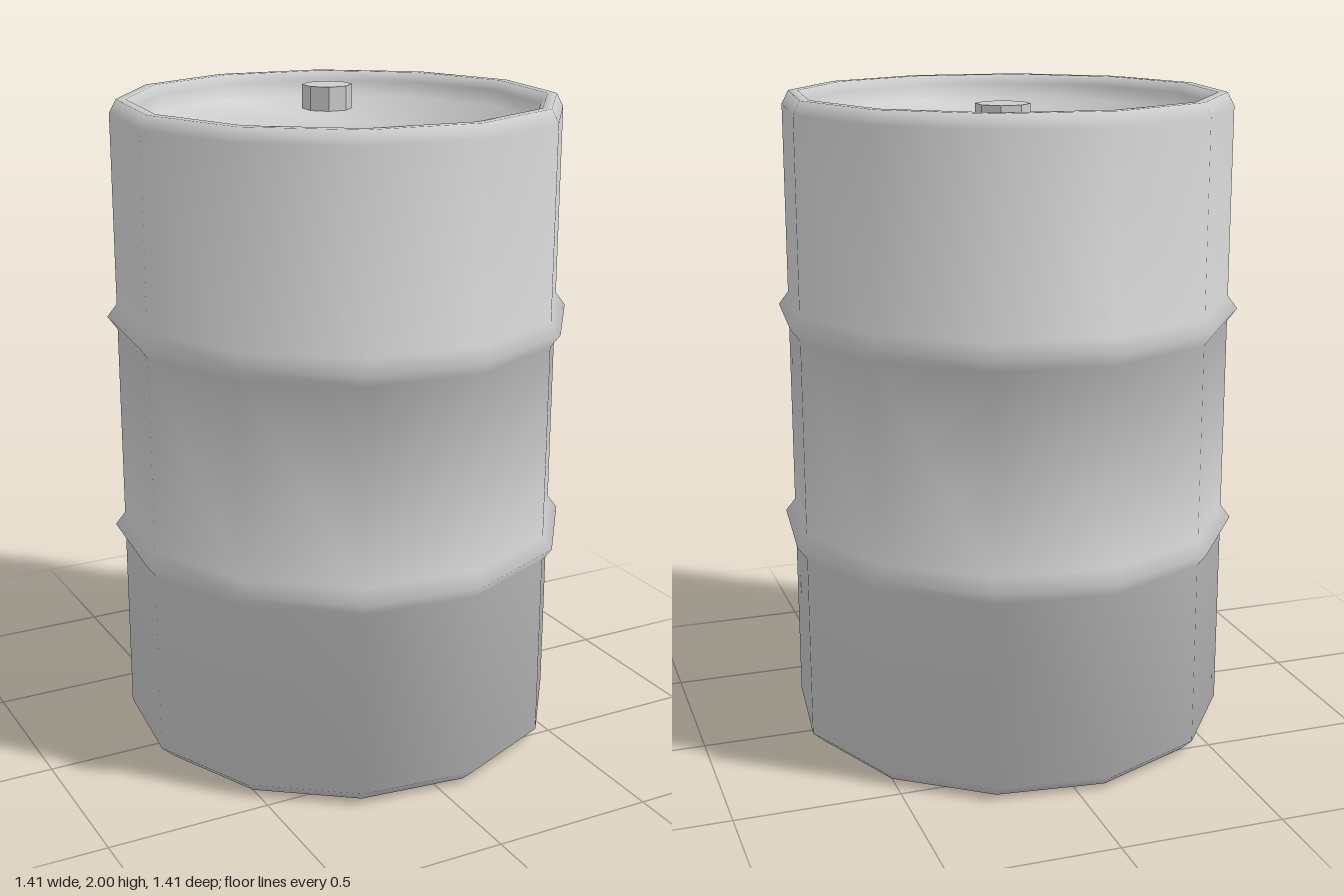
import * as THREE from 'three';

const SIDES = 12;
const TURN = THREE.MathUtils.degToRad(8.6);

// Lathe whose normals blend evenly across neighbouring profile segments
function smoothLathe(profile) {
  const points = profile.map(([r, y]) => new THREE.Vector2(r, y));
  const geometry = new THREE.LatheGeometry(points, SIDES, TURN);
  const segments = points.slice(1).map((p, i) =>
    new THREE.Vector2(p.y - points[i].y, points[i].x - p.x).normalize());
  const blended = points.map((p, i) => {
    const n = new THREE.Vector2();
    if (i > 0) n.add(segments[i - 1]);
    if (i < segments.length) n.add(segments[i]);
    return n.normalize();
  });
  const normal = geometry.attributes.normal;
  for (let i = 0; i <= SIDES; i++) {
    const a = TURN + (i / SIDES) * Math.PI * 2;
    blended.forEach((n, j) =>
      normal.setXYZ(i * points.length + j, n.x * Math.sin(a), n.y, n.x * Math.cos(a)));
  }
  return geometry;
}

export function createModel() {
  const model = new THREE.Group();
  model.name = 'barrel';
  const metal = new THREE.MeshStandardMaterial({ color: 0xcccccc });
  metal.name = 'grey metal';

  const body = 0.683;
  const lidY = 1.92;
  // Raised hoop around the body
  const hoop = (y) => [[body, y - 0.04], [0.713, y], [body, y + 0.04]];

  // Base, wall with two hoops, rolled rim and sunken lid
  const drum = new THREE.Mesh(smoothLathe([
    [0, 0], [0.64, 0], [body, 0.04],
    ...hoop(0.66), ...hoop(1.34),
    [body, 1.96], [0.662, 2], [0.633, 2], [0.614, 1.97],
    [0.614, lidY], [0, lidY],
  ]), metal);
  drum.name = 'drum';
  model.add(drum);

  // Octagonal filler cap on the lid
  const capTop = 1.995;
  const capBottom = lidY - 0.01;
  const cap = new THREE.Mesh(
    new THREE.CylinderGeometry(0.079, 0.079, capTop - capBottom, 8, 1, false, Math.PI / 8).toNonIndexed(),
    metal);
  cap.geometry.computeVertexNormals();
  cap.position.set(0.113, (capTop + capBottom) / 2, -0.3);
  cap.name = 'fillerCap';
  model.add(cap);

  return model;
}
